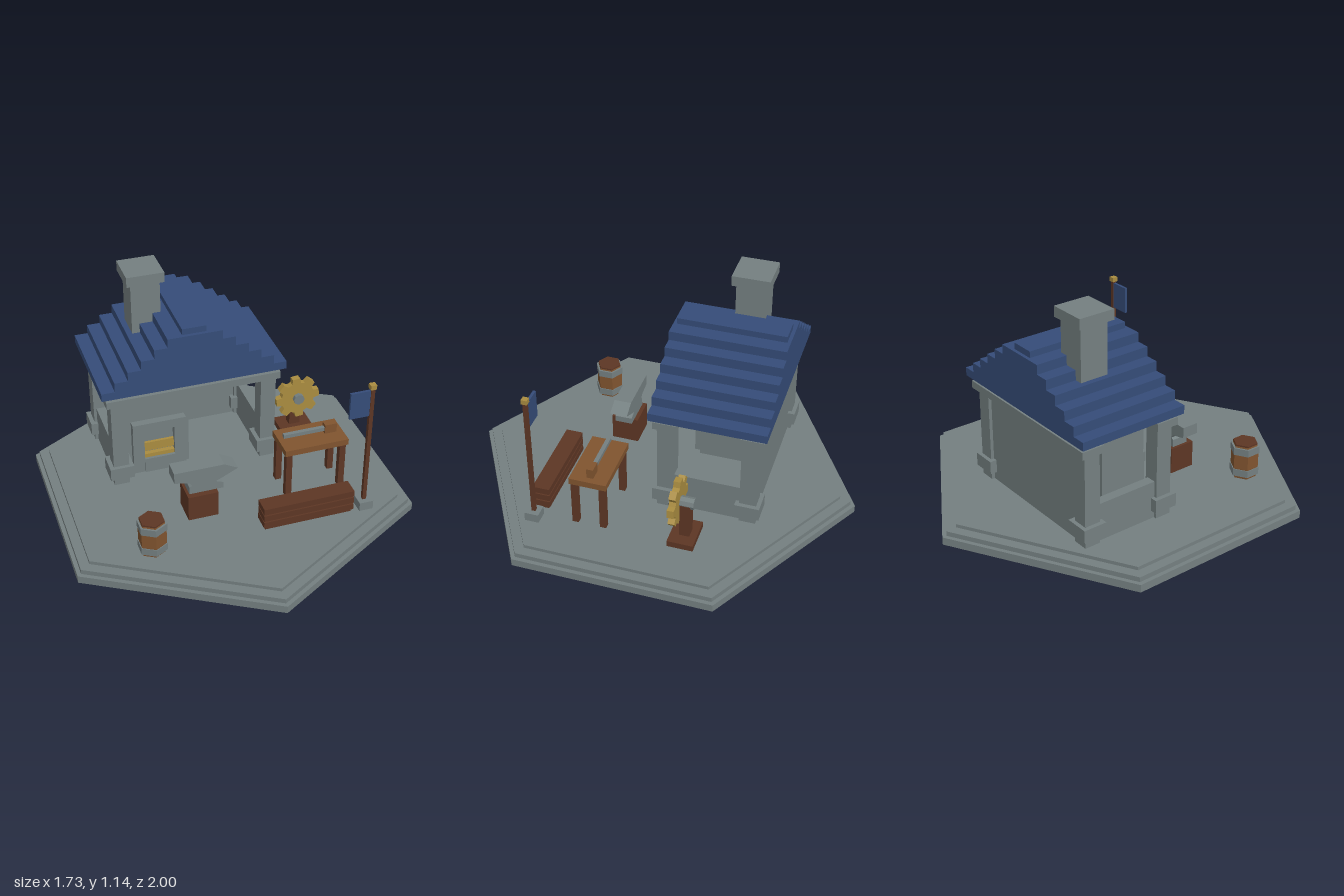
import * as THREE from 'three';

const mat = (name, color) => {
  const m = new THREE.MeshStandardMaterial({ color });
  m.name = name;
  m.flatShading = true;
  return m;
};

export function createModel() {
  const stone = mat('stone', 0x747f80);
  const blue = mat('roofBlue', 0x354c78);
  const darkWood = mat('darkWood', 0x5d3624);
  const wood = mat('wood', 0x80542f);
  const gold = mat('gold', 0xa98c40);

  const model = new THREE.Group();
  const G = 0.083; // ground level on the base

  const group = (name) => {
    const g = new THREE.Group();
    g.name = name;
    model.add(g);
    return g;
  };
  const add = (parent, name, geo, material, x = 0, y = 0, z = 0) => {
    const m = new THREE.Mesh(geo, material);
    m.name = name;
    m.position.set(x, y, z);
    parent.add(m);
    return m;
  };
  // Box given by its limits on each axis
  const box = (parent, name, material, x0, x1, y0, y1, z0, z1) =>
    add(parent, name, new THREE.BoxGeometry(x1 - x0, y1 - y0, z1 - z0), material,
      (x0 + x1) / 2, (y0 + y1) / 2, (z0 + z1) / 2);

  // Hexagonal stepped base
  const base = group('base');
  [[1, 0, 0.04], [0.977, 0.04, 0.065], [0.922, 0.065, G]].forEach(([r, y0, y1], i) =>
    add(base, `baseStep${i + 1}`, new THREE.CylinderGeometry(r, r, y1 - y0, 6), stone, 0, (y0 + y1) / 2, 0));

  // Workshop: posts, beams, walls
  const house = group('workshop');
  for (const x of [-0.5, 0.284]) {
    for (const z of [-0.102, -0.52]) {
      box(house, 'post', stone, x - 0.04, x + 0.04, G, 0.57, z - 0.042, z + 0.042);
      box(house, 'postCollar', stone, x - 0.062, x + 0.062, 0.128, 0.197, z - 0.062, z + 0.062);
    }
    box(house, 'lowSideWall', stone, x - 0.025, x + 0.025, G, 0.28, -0.49, -0.13);
  }
  for (const z of [-0.102, -0.53]) {
    box(house, 'beam', stone, -0.563, 0.342, 0.567, 0.606, z - 0.06, z + 0.06);
    box(house, 'roofPlate', stone, -0.54, 0.323, 0.606, 0.632, z - 0.033, z + 0.033);
  }
  box(house, 'backWall', stone, -0.48, 0.265, G, 0.57, -0.545, -0.495);

  // Stepped roof
  const roof = group('roof');
  const roofTops = [0.63, 0.673, 0.722, 0.77, 0.82, 0.87, 0.918];
  for (let i = 0; i < 6; i++) {
    const half = 0.477 - i * 0.0676;
    box(roof, 'roofStep', blue, -0.111 - half, -0.111 + half, roofTops[i], roofTops[i + 1], -0.605, -0.027);
  }
  box(roof, 'ridgeCap', blue, -0.172, -0.048, 0.918, 0.95, -0.588, -0.045);

  // Hearth and chimney
  const hearth = group('hearth');
  box(hearth, 'hearthBlock', stone, -0.452, -0.115, G, 0.535, -0.398, -0.155);
  box(hearth, 'lintel', stone, -0.42, -0.14, 0.335, 0.385, -0.156, -0.115);
  box(hearth, 'jambLeft', stone, -0.2, -0.14, G, 0.335, -0.156, -0.122);
  box(hearth, 'jambRight', stone, -0.42, -0.36, G, 0.335, -0.156, -0.122);
  box(hearth, 'hearthSill', stone, -0.36, -0.2, G, 0.165, -0.156, -0.115);
  box(hearth, 'embers', gold, -0.36, -0.2, 0.165, 0.187, -0.156, -0.13);
  box(hearth, 'fire', gold, -0.36, -0.2, 0.2, 0.25, -0.156, -0.14);
  box(hearth, 'chimney', stone, -0.357, -0.208, 0.48, 1.092, -0.442, -0.292);
  box(hearth, 'chimneyCap', stone, -0.38, -0.188, 1.092, 1.145, -0.463, -0.272);

  // Barrel
  const barrel = group('barrel');
  barrel.position.set(-0.49, 0, 0.475);
  const lathe = (pts) => new THREE.LatheGeometry(pts.map((p) => new THREE.Vector2(...p)), 6);
  add(barrel, 'staves', lathe([[0, G], [0.062, G], [0.071, 0.14], [0.071, 0.215], [0.062, 0.268]]), wood);
  add(barrel, 'lid', new THREE.CylinderGeometry(0.063, 0.063, 0.008, 6), darkWood, 0, 0.268, 0);
  for (const y of [0.118, 0.237])
    add(barrel, 'hoop', new THREE.CylinderGeometry(0.075, 0.075, 0.038, 6), stone, 0, y, 0);

  // Anvil on its block
  const anvil = group('anvil');
  box(anvil, 'anvilBlock', darkWood, -0.264, -0.11, G, 0.222, 0.185, 0.325);
  const profile = new THREE.Shape([
    [-0.325, 0.305], [-0.25, 0.29], [-0.235, 0.27], [-0.25, 0.262], [-0.25, 0.222], [-0.075, 0.222],
    [-0.075, 0.255], [-0.115, 0.27], [-0.075, 0.288], [0, 0.325], [-0.07, 0.362], [-0.325, 0.362],
  ].map((p) => new THREE.Vector2(...p)));
  add(anvil, 'anvilBody', new THREE.ExtrudeGeometry(profile, { depth: 0.09, bevelEnabled: false }), stone, 0, 0, 0.206);

  // Stacked planks
  const planks = group('plankStack');
  box(planks, 'stackCore', darkWood, 0.07, 0.52, G, 0.205, 0.44, 0.507);
  for (const y of [0.1, 0.14, 0.18])
    box(planks, 'plank', darkWood, 0.06, 0.53, y, y + 0.033, 0.43, 0.517);

  // Work table with hammer
  const table = group('workTable');
  box(table, 'tableTop', wood, 0.247, 0.583, 0.333, 0.366, 0.112, 0.3);
  for (const x of [0.27, 0.555])
    for (const z of [0.138, 0.28])
      box(table, 'tableLeg', darkWood, x - 0.016, x + 0.016, G, 0.333, z - 0.016, z + 0.016);
  box(table, 'toolBar', stone, 0.27, 0.49, 0.38, 0.4, 0.193, 0.214);
  box(table, 'toolHandle', wood, 0.487, 0.55, 0.366, 0.417, 0.186, 0.22);

  // Gear wheel on its stand
  const gear = group('gearWheel');
  box(gear, 'gearBase', darkWood, 0.42, 0.6, G, 0.115, -0.325, -0.195);
  box(gear, 'gearPost', darkWood, 0.48, 0.54, 0.115, 0.3, -0.29, -0.24);
  const outline = [];
  for (let i = 0; i < 8; i++) {
    for (const [da, r] of [[-0.27, 0.093], [-0.17, 0.122], [0.17, 0.122], [0.27, 0.093]]) {
      const a = (i / 8) * Math.PI * 2 + 0.1 + da;
      outline.push(new THREE.Vector2(r * Math.cos(a), r * Math.sin(a)));
    }
  }
  add(gear, 'gearDisc', new THREE.ExtrudeGeometry(new THREE.Shape(outline), { depth: 0.034, bevelEnabled: false }),
    gold, 0.51, 0.305, -0.238);
  const hub = add(gear, 'axle', new THREE.CylinderGeometry(0.03, 0.03, 0.125, 8), stone, 0.51, 0.305, -0.245);
  hub.rotation.x = Math.PI / 2;

  // Flag
  const flag = group('flag');
  box(flag, 'flagFoot', stone, 0.562, 0.634, G, 0.13, 0.45, 0.522);
  box(flag, 'flagPole', darkWood, 0.587, 0.607, 0.13, 0.79, 0.475, 0.495);
  box(flag, 'finial', gold, 0.582, 0.612, 0.786, 0.81, 0.47, 0.5);
  box(flag, 'banner', blue, 0.486, 0.588, 0.635, 0.778, 0.478, 0.492);

  return model;
}
